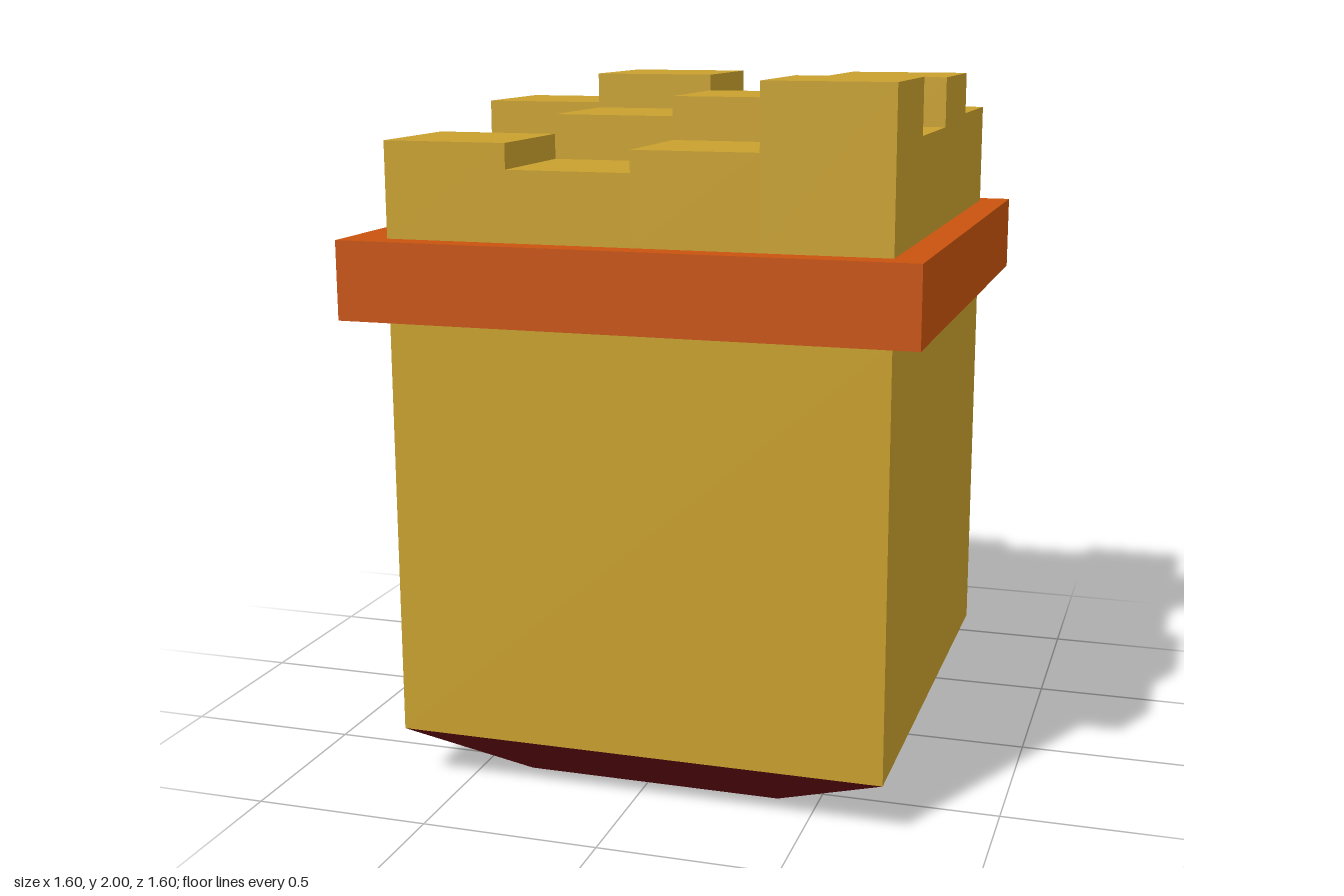
import * as THREE from 'three';

export function createModel() {
  const model = new THREE.Group();
  const gold = new THREE.MeshStandardMaterial({ color: 0xc8a02d });
  const orange = new THREE.MeshStandardMaterial({ color: 0xc8530d });
  const maroon = new THREE.MeshStandardMaterial({ color: 0x640a10 });

  // Box given by its two opposite corners
  function addBox(name, material, [x0, y0, z0], [x1, y1, z1], parent = model) {
    const geometry = new THREE.BoxGeometry(x1 - x0, y1 - y0, z1 - z0);
    geometry.translate((x0 + x1) / 2, (y0 + y1) / 2, (z0 + z1) / 2);
    const mesh = new THREE.Mesh(geometry, material);
    mesh.name = name;
    parent.add(mesh);
    return mesh;
  }

  const left = -0.68, right = 0.715, depth = 0.73;
  const baseTop = 0.15, bandBottom = 1.345, bandTop = 1.565;

  // Tapered base: the lower corners pulled in, with a gold underside
  const base = addBox('taperedBase', [maroon, maroon, gold, gold, maroon, maroon],
    [left, 0, -depth], [right, baseTop, depth]);
  const p = base.geometry.attributes.position;
  for (let i = 0; i < p.count; i++) {
    if (p.getY(i) > baseTop / 2) continue;
    p.setX(i, p.getX(i) > 0 ? 0.385 : -0.355);
    p.setZ(i, Math.sign(p.getZ(i)) * 0.565);
  }
  base.geometry.computeVertexNormals();

  // Main block and the band around it
  addBox('body', gold, [left, baseTop, -depth], [right, bandBottom, depth]);
  addBox('band', orange, [-0.8, bandBottom, -0.8], [0.8, bandTop, 0.8]);

  // Uneven top: a 4 x 4 grid of columns, rows from back to front
  const heights = [
    [1.83, 1.865, 1.765, 1.865],
    [1.9, 1.985, 1.84, 1.985],
    [1.74, 1.885, 1.94, 1.845],
    [1.83, 1.76, 1.82, 2],
  ];
  const xs = [left, -0.33, 0.018, 0.365, right];
  const zs = [-depth, -0.365, 0, 0.365, depth];
  const top = new THREE.Group();
  top.name = 'unevenTop';
  model.add(top);
  heights.forEach((row, j) => row.forEach((h, i) =>
    addBox('topColumn', gold, [xs[i], bandTop, zs[j]], [xs[i + 1], h, zs[j + 1]], top)));

  return model;
}
